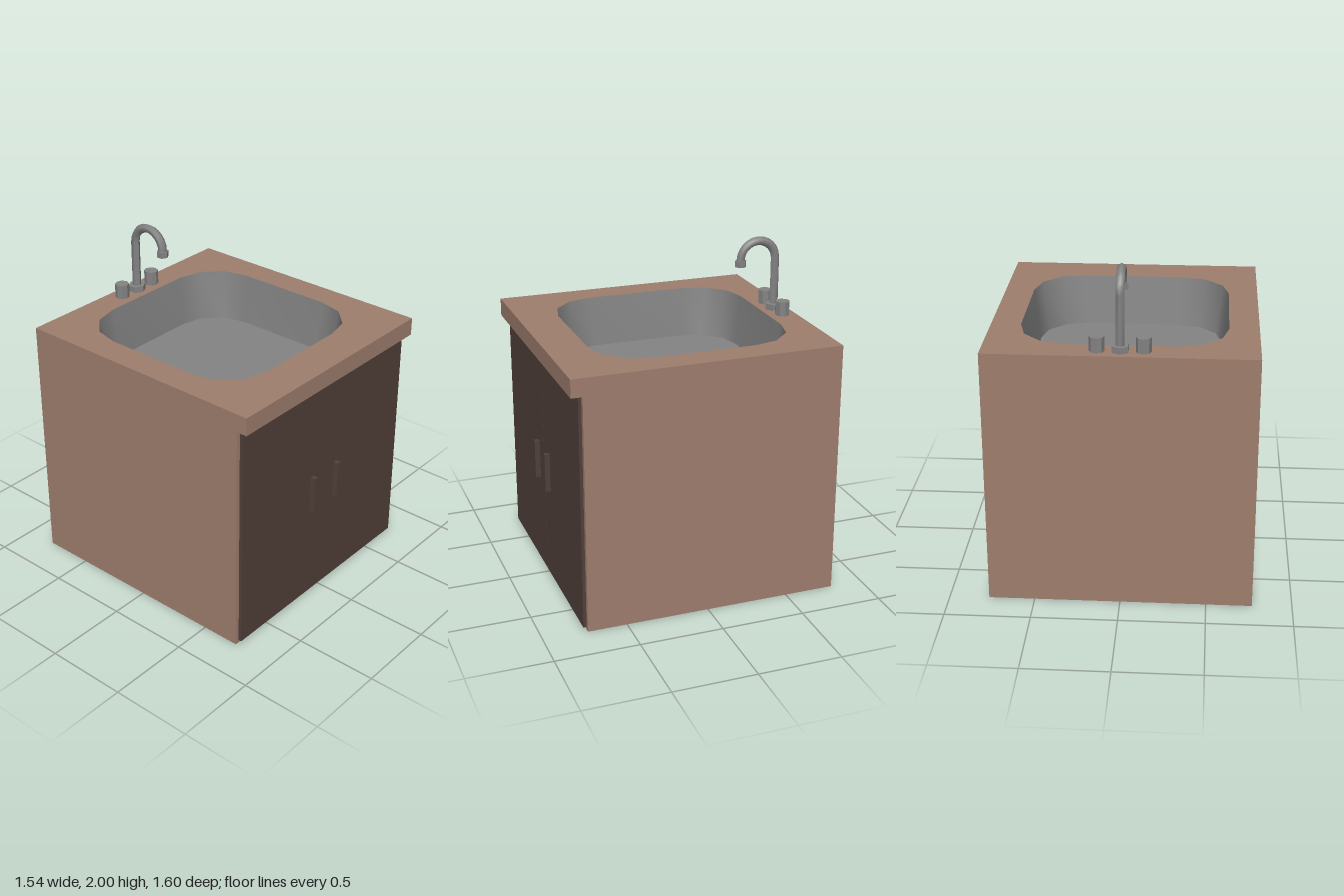
import * as THREE from 'three';

const W = 0.768, BACK = -0.801, FACE = 0.735, LIP = 0.801, TOP = 1.54, LIP_Y = 1.432;
const BASIN_Z = -0.035, BASIN_DEPTH = 0.305;

export function createModel() {
  const model = new THREE.Group();
  model.name = 'sinkCabinet';

  const material = (name, color, side = THREE.FrontSide) => {
    const m = new THREE.MeshStandardMaterial({ color, side });
    m.name = name;
    return m;
  };
  const wood = material('wood', 0x9e7e6e, THREE.DoubleSide);
  const darkWood = material('darkWood', 0x51403a);
  const metal = material('metal', 0x838383, THREE.DoubleSide);

  const add = (name, geometry, mat, x = 0, y = 0, z = 0, parent = model) => {
    const mesh = new THREE.Mesh(geometry, mat);
    mesh.name = name;
    mesh.position.set(x, y, z);
    parent.add(mesh);
    return mesh;
  };
  const box = (name, mat, x0, x1, y0, y1, z0, z1) =>
    add(name, new THREE.BoxGeometry(x1 - x0, y1 - y0, z1 - z0), mat,
      (x0 + x1) / 2, (y0 + y1) / 2, (z0 + z1) / 2);
  const faceted = (radius, height, sides) => {
    const g = new THREE.CylinderGeometry(radius, radius, height, sides).toNonIndexed();
    g.computeVertexNormals();
    return g;
  };

  // Cabinet shell: thin panels, open underneath
  const sideShape = new THREE.Shape([
    [-BACK, 0], [-BACK, TOP], [-LIP, TOP], [-LIP, LIP_Y], [-FACE, LIP_Y], [-FACE, 0],
  ].map(([u, v]) => new THREE.Vector2(u, v)));
  const sideGeometry = new THREE.ShapeGeometry(sideShape);
  sideGeometry.rotateY(Math.PI / 2);
  add('leftSide', sideGeometry, wood, W);
  const rightGeometry = sideGeometry.clone();
  const index = rightGeometry.index.array; // faces the other way, so reverse the corners
  for (let i = 0; i < index.length; i += 3) [index[i], index[i + 1]] = [index[i + 1], index[i]];
  rightGeometry.computeVertexNormals();
  add('rightSide', rightGeometry, wood, -W);
  add('backPanel', new THREE.PlaneGeometry(2 * W, TOP).rotateY(Math.PI), wood, 0, TOP / 2, BACK);
  add('frontFrame', new THREE.PlaneGeometry(2 * W, LIP_Y), wood, 0, LIP_Y / 2, FACE);
  add('counterLip', new THREE.PlaneGeometry(2 * W, TOP - LIP_Y), wood, 0, (TOP + LIP_Y) / 2, LIP);
  add('lipUnderside', new THREE.PlaneGeometry(2 * W, LIP - FACE).rotateX(Math.PI / 2), wood,
    0, LIP_Y, (LIP + FACE) / 2);

  // Rounded-square basin outline, one corner repeated four times
  const outline = [];
  for (let q = 0; q < 4; q++) {
    for (const [x, y] of [[0.595, 0.302], [0.559, 0.449], [0.449, 0.559], [0.302, 0.595]]) {
      outline.push(new THREE.Vector2(x, y).rotateAround(new THREE.Vector2(), q * Math.PI / 2));
    }
  }

  // Counter top with the basin opening
  const topShape = new THREE.Shape([[-W, -LIP], [W, -LIP], [W, -BACK], [-W, -BACK]]
    .map(([x, y]) => new THREE.Vector2(x, y)));
  topShape.holes.push(new THREE.Path(outline.map(p => new THREE.Vector2(p.x, p.y - BASIN_Z))));
  add('counterTop', new THREE.ShapeGeometry(topShape).rotateX(-Math.PI / 2), wood, 0, TOP, 0);

  // Basin: tapered wall facing inwards, and a flat floor
  const floorOutline = outline.map(p => p.clone().multiplyScalar(0.935));
  const positions = [], faces = [], n = outline.length;
  for (let i = 0; i < n; i++) {
    positions.push(floorOutline[i].x, floorOutline[i].y, -BASIN_DEPTH, outline[i].x, outline[i].y, 0);
    const b = 2 * i, b2 = 2 * ((i + 1) % n);
    faces.push(b, b2 + 1, b2, b, b + 1, b2 + 1);
  }
  const wall = new THREE.BufferGeometry();
  wall.setAttribute('position', new THREE.Float32BufferAttribute(positions, 3));
  wall.setIndex(faces);
  wall.rotateX(-Math.PI / 2);
  wall.computeVertexNormals();
  add('basinWall', wall, metal, 0, TOP, BASIN_Z);
  add('basinFloor', new THREE.ShapeGeometry(new THREE.Shape(floorOutline)).rotateX(-Math.PI / 2),
    metal, 0, TOP - BASIN_DEPTH, BASIN_Z);

  // Doors and handles
  for (const [side, s] of [['left', 1], ['right', -1]]) {
    const span = (a, b) => (s > 0 ? [a, b] : [-b, -a]);
    box(side + 'Door', darkWood, ...span(0.002, 0.744), 0.018, 1.422, FACE + 0.001, 0.755);
    box(side + 'Handle', darkWood, ...span(0.096, 0.125), 0.6, 0.838, 0.755, 0.787);
  }

  // Faucet: base, two knobs, bent pipe and nozzle
  const faucet = new THREE.Group();
  faucet.name = 'faucet';
  faucet.position.set(0, TOP, -0.717);
  model.add(faucet);
  add('faucetBase', faceted(0.053, 0.037, 6), metal, 0, 0.0185, 0, faucet);
  for (const [name, x] of [['leftKnob', 0.129], ['rightKnob', -0.129]]) {
    add(name, faceted(0.043, 0.086, 8), metal, x, 0.043, 0, faucet);
  }

  // A straight cylinder whose upper rings are bent over half a circle
  const bend = 12, radius = 0.112, rise = 0.322;
  const pipe = new THREE.CylinderGeometry(0.027, 0.027, 1, 6, bend + 1, true);
  const pos = pipe.attributes.position;
  for (let i = 0; i < pos.count; i++) {
    const ring = Math.round((pos.getY(i) + 0.5) * (bend + 1));
    const angle = Math.max(0, ring - 1) / bend * Math.PI;
    const r = radius - pos.getZ(i);
    pos.setY(i, ring === 0 ? 0 : rise + r * Math.sin(angle));
    pos.setZ(i, radius - r * Math.cos(angle));
  }
  pipe.computeVertexNormals();
  add('faucetPipe', pipe, metal, 0, 0, 0, faucet);
  add('faucetNozzle', faceted(0.036, 0.037, 6), metal, 0, rise - 0.0185, 2 * radius, faucet);

  return model;
}
